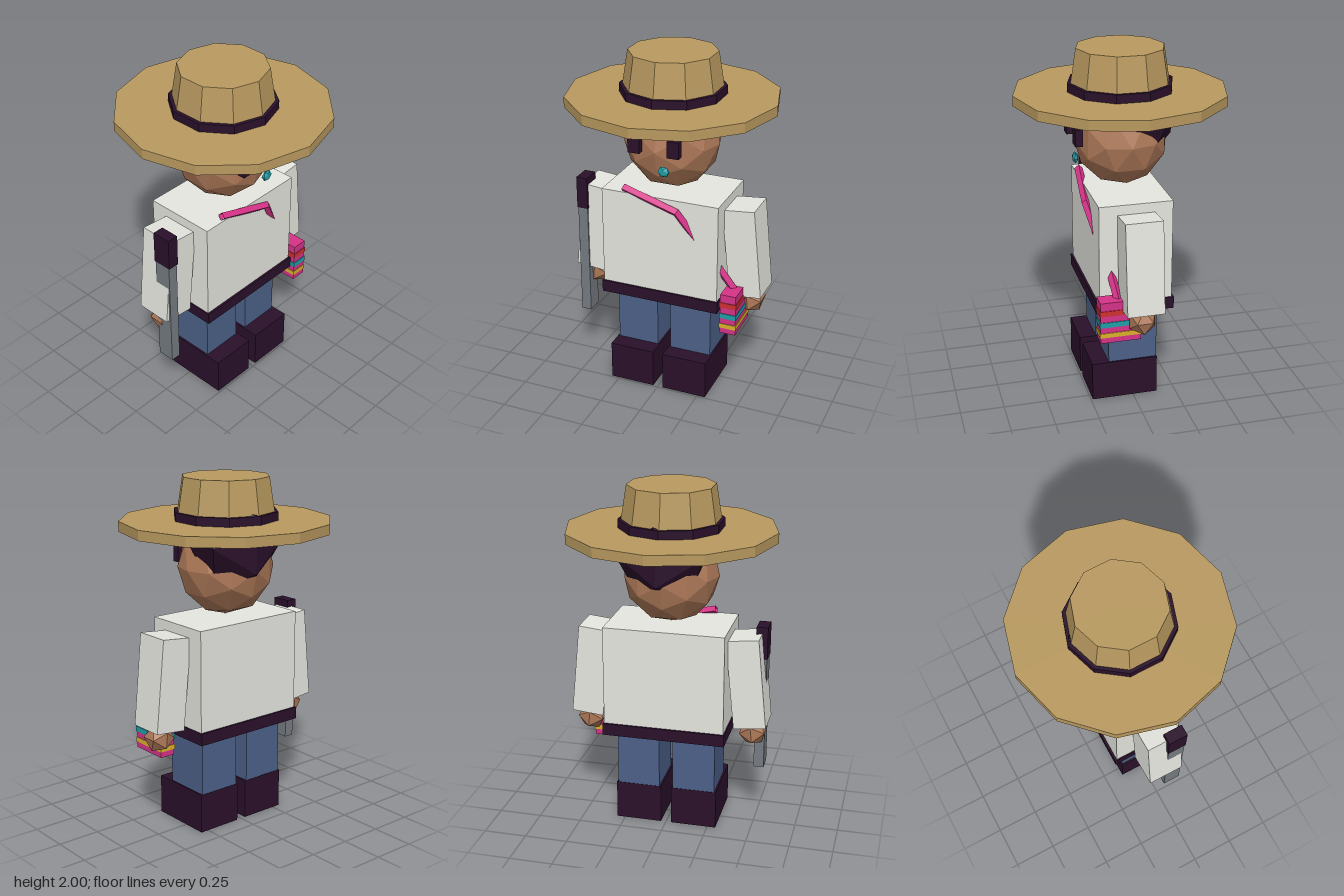
import * as THREE from 'three';

// One flat-shaded material per colour
function makeMaterial(name, color, side = THREE.FrontSide) {
  const m = new THREE.MeshStandardMaterial({ color, side, flatShading: true });
  m.name = name;
  return m;
}

// Curve that runs straight from point to point, with one tube segment per span
class Polyline extends THREE.Curve {
  constructor(points) {
    super();
    this.points = points.map((p) => new THREE.Vector3(...p));
  }
  getPoint(t, target = new THREE.Vector3()) {
    const n = this.points.length - 1;
    const i = Math.min(Math.floor(t * n + 1e-9), n - 1);
    return target.lerpVectors(this.points[i], this.points[i + 1], t * n - i);
  }
  getUtoTmapping(u) {
    return u;
  }
}

export function createModel() {
  const straw = makeMaterial('straw', 0xb8995f);
  const dark = makeMaterial('darkLeather', 0x2a102a);
  const skin = makeMaterial('skin', 0xad7858);
  const shirt = makeMaterial('shirtWhite', 0xe6e6e0);
  const denim = makeMaterial('denim', 0x4c6088);
  const pink = makeMaterial('pinkCloth', 0xd63388, THREE.DoubleSide);
  const teal = makeMaterial('teal', 0x1f9ea8);
  const yellow = makeMaterial('yellow', 0xdcb02c);
  const red = makeMaterial('red', 0xcf3030);
  const steel = makeMaterial('steel', 0x757b82);

  const model = new THREE.Group();
  model.name = 'hatWearingFigure';

  const add = (name, geometry, material, x = 0, y = 0, z = 0) => {
    const mesh = new THREE.Mesh(geometry, material);
    mesh.name = name;
    mesh.position.set(x, y, z);
    model.add(mesh);
    return mesh;
  };
  // Box given by its limits on each axis
  const box = (name, material, [x0, x1], [y0, y1], [z0, z1]) =>
    add(name, new THREE.BoxGeometry(x1 - x0, y1 - y0, z1 - z0), material,
      (x0 + x1) / 2, (y0 + y1) / 2, (z0 + z1) / 2);
  const ring = (name, material, top, bottom, sides, y0, y1) =>
    add(name, new THREE.CylinderGeometry(top, bottom, y1 - y0, sides), material, 0, (y0 + y1) / 2, 0);

  // Hat
  ring('hatBrim', straw, 0.595, 0.595, 12, 1.705, 1.762);
  ring('hatCrown', straw, 0.247, 0.287, 10, 1.75, 2);
  ring('hatBand', dark, 0.297, 0.297, 10, 1.76, 1.81);

  // Head, hair and face
  add('head', new THREE.IcosahedronGeometry(0.28, 1), skin, 0, 1.5, 0).scale.set(0.98, 1, 0.95);
  add('hair', new THREE.IcosahedronGeometry(1, 0), dark, 0.02, 1.65, -0.11).scale.set(0.29, 0.3, 0.206);
  add('noseStud', new THREE.IcosahedronGeometry(0.036, 0), teal, 0.055, 1.405, 0.27).scale.set(1, 0.9, 0.5);

  // Torso and belt
  box('torso', shirt, [-0.348, 0.348], [0.63, 1.215], [-0.208, 0.208]);
  box('belt', dark, [-0.355, 0.355], [0.565, 0.635], [-0.22, 0.22]);

  // Paired parts
  for (const s of [-1, 1]) {
    const side = s > 0 ? 'left' : 'right';
    const span = (a, b) => (s > 0 ? [a, b] : [-b, -a]);
    box(`${side}Eye`, dark, span(0.08, 0.148), [1.495, 1.59], [0.245, 0.287]);
    box(`${side}Leg`, denim, span(0.04, 0.288), [0.2, 0.57], [-0.14, 0.142]);
    box(`${side}Boot`, dark, span(0.03, 0.298), [0, 0.23], [-0.142, 0.24]);
    const arm = add(`${side}Arm`, new THREE.BoxGeometry(0.186, 0.528, 0.21), shirt, s * 0.453, 0.904, 0);
    arm.rotation.z = s * 0.1;
    const hand = add(`${side}Hand`, new THREE.IcosahedronGeometry(0.086, 0), skin, s * 0.483, 0.585, 0);
    hand.rotation.z = s * 0.1;
  }

  // Blade carried upright beside the right arm
  box('bladeHandle', dark, [-0.552, -0.486], [1.025, 1.215], [0.008, 0.12]);
  box('blade', steel, [-0.549, -0.49], [0.35, 1.045], [0.012, 0.114]);

  // Striped bag at the left hip
  box('bag', pink, [0.377, 0.469], [0.457, 0.702], [0.003, 0.231]);
  const stripes = [['red', red, 0.622, 0.653], ['teal', teal, 0.553, 0.584], ['yellow', yellow, 0.491, 0.519]];
  for (const [name, material, y0, y1] of stripes) {
    box(`${name}BagStripe`, material, [0.373, 0.473], [y0, y1], [-0.001, 0.235]);
  }

  // Strap from the right shoulder, across the chest and down to the bag
  const strapPath = new Polyline([
    [-0.22, 1.237, 0.192], [0.11, 1.155, 0.225], [0.23, 0.96, 0.175],
    [0.33, 0.82, 0.14], [0.42, 0.685, 0.12],
  ]);
  add('bagStrap', new THREE.TubeGeometry(strapPath, 4, 0.024, 4), pink);

  return model;
}
